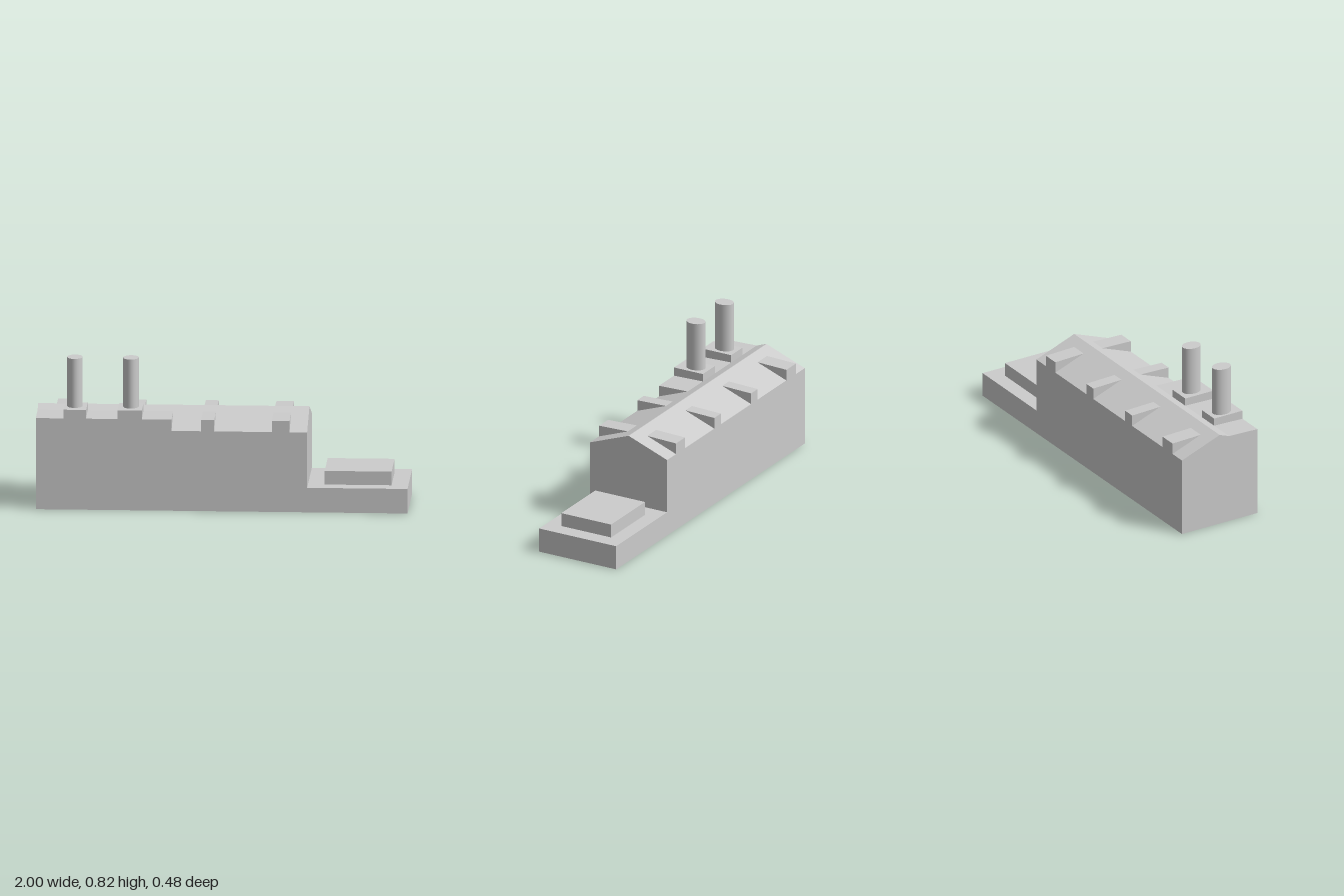
import * as THREE from 'three';

const material = new THREE.MeshStandardMaterial({ color: 0xcccccc, flatShading: true });
const smooth = new THREE.MeshStandardMaterial({ color: 0xcccccc });

export function createModel() {
  const model = new THREE.Group();

  const add = (name, geometry, mat = material) => {
    const mesh = new THREE.Mesh(geometry, mat);
    mesh.name = name;
    model.add(mesh);
    return mesh;
  };

  // Block given by its extents on each axis
  const box = (name, x0, x1, y0, y1, z0, z1) =>
    add(name, new THREE.BoxGeometry(x1 - x0, y1 - y0, z1 - z0))
      .position.set((x0 + x1) / 2, (y0 + y1) / 2, (z0 + z1) / 2);

  // Cross-section of [z, y] points swept along x
  const sweep = (name, x0, x1, points) => {
    const shape = new THREE.Shape(points.map(([z, y]) => new THREE.Vector2(-z, y)));
    const geometry = new THREE.ExtrudeGeometry(shape, { depth: x1 - x0, bevelEnabled: false });
    geometry.rotateY(Math.PI / 2).translate(x0, 0, 0);
    return add(name, geometry);
  };

  // Gabled hall
  sweep('hall', -1, 0.46, [[0.24, 0], [-0.24, 0], [-0.24, 0.44], [0, 0.53], [0.24, 0.44]]);

  // Low annex with a raised roof slab
  box('annex', 0.46, 1, 0, 0.135, -0.24, 0.24);
  box('annexRoofSlab', 0.55, 0.91, 0.135, 0.21, -0.155, 0.155);

  // Wedge that lifts the roof slope to a nearly flat top; side is +1 front, -1 back
  const dormer = (name, x0, x1, side) =>
    sweep(name, x0, x1, [[0.24 * side, 0.44], [0.06 * side, 0.5075], [0.24 * side, 0.502]]);

  dormer('raisedFrontRoof', -1, -0.27, 1);
  for (const [x0, x1] of [[-0.11, -0.04], [0.27, 0.365]]) dormer('frontDormer', x0, x1, 1);
  for (const [x0, x1] of [[-0.905, -0.805], [-0.5, -0.43], [-0.11, -0.04], [0.27, 0.365]])
    dormer('backDormer', x0, x1, -1);

  // Chimneys of oval section on square bases
  for (const [x0, x1, x] of [[-0.85, -0.73, -0.795], [-0.56, -0.43, -0.493]]) {
    box('chimneyBase', x0, x1, 0.49, 0.55, 0.06, 0.24);
    const chimney = add('chimney', new THREE.CylinderGeometry(1, 1, 0.27, 32), smooth);
    chimney.scale.set(0.042, 1, 0.054);
    chimney.position.set(x, 0.685, 0.141);
  }

  return model;
}
